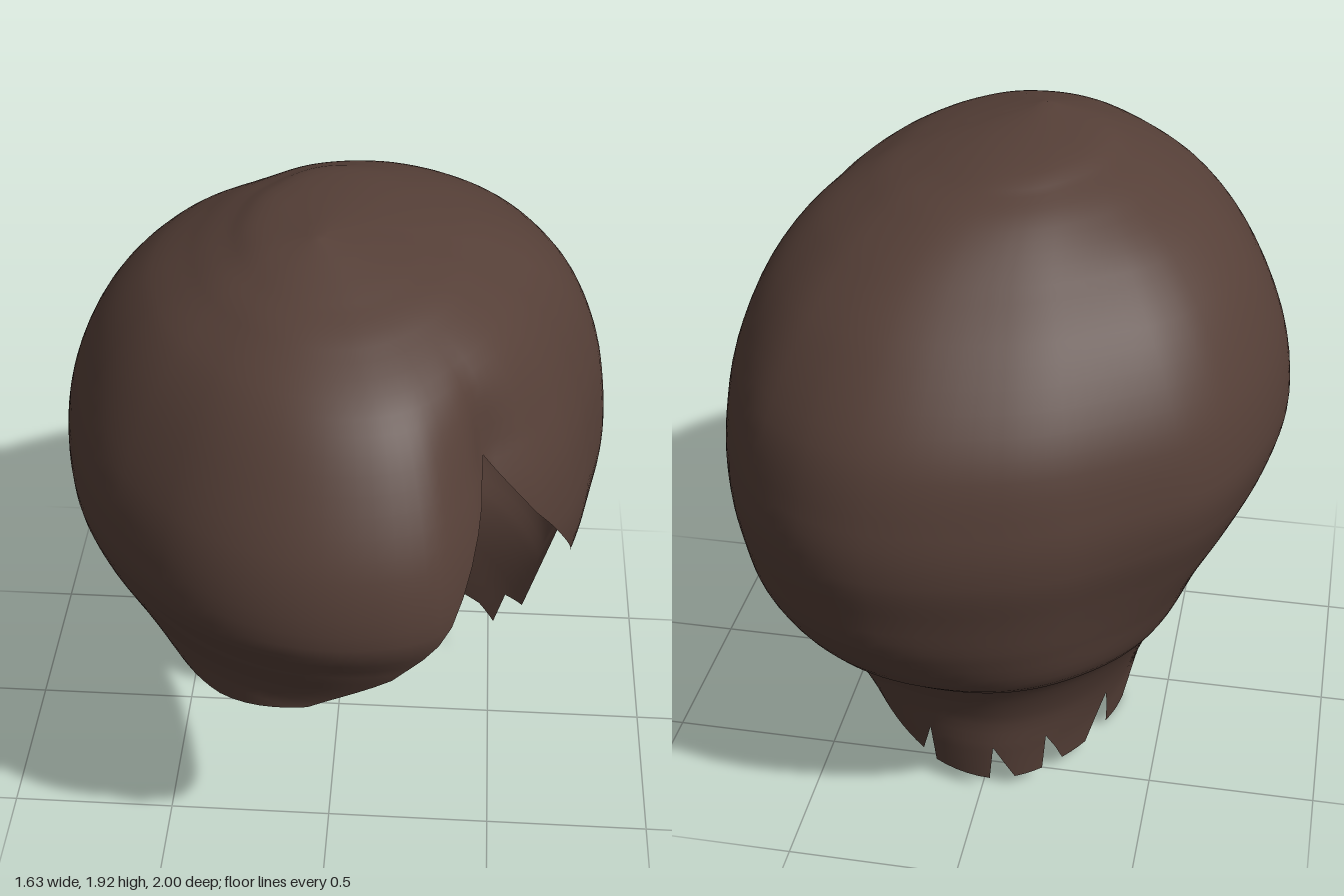
import * as THREE from 'three';

// Cross-section levels from crown to nape: y, left edge, right edge, front, back, centre x, centre z
const LEVELS = [
  [1.92, -0.05, -0.05, 0.18, 0.18, -0.05, 0.18],
  [1.89, -0.22, 0.12, 0.29, -0.22, -0.04, 0.1],
  [1.85, -0.31, 0.28, 0.42, -0.36, -0.03, 0.08],
  [1.8, -0.41, 0.41, 0.56, -0.47, -0.02, 0.06],
  [1.7, -0.57, 0.57, 0.73, -0.61, 0, 0.03],
  [1.55, -0.7, 0.69, 0.86, -0.78, 0, 0],
  [1.35, -0.79, 0.77, 0.97, -0.93, 0, 0],
  [1.15, -0.82, 0.805, 1.0, -0.99, 0, 0],
  [1.0, -0.79, 0.81, 0.94, -1.0, 0, 0],
  [0.85, -0.72, 0.79, 0.88, -0.97, 0, -0.02],
  [0.7, -0.63, 0.75, 0.86, -0.93, 0, -0.07],
  [0.55, -0.56, 0.7, 0.7, -0.85, 0, -0.11],
  [0.45, -0.52, 0.66, 0.6, -0.72, 0, -0.04],
  [0.3, -0.46, 0.6, 0.5, -0.65, 0, 0.04],
  [0.15, -0.41, 0.51, 0.45, -0.635, 0, 0.1],
  [0, -0.38, 0.44, 0.42, -0.62, 0, 0.1],
];
const LAST = LEVELS.length - 1;

// Hem height by angle (0 = front, 90 = left side, 180 = back)
const FRINGE = [[-103, 0.83], [-90, 0.81], [-75, 0.745], [-60, 0.715], [-39, 0.7], [-20, 0.74], [-2, 0.82],
  [12.5, 0.97], [22, 1.15], [30, 1.34], [37, 1.48], [49, 1.25], [62, 1.05], [77, 0.82], [90, 0.88], [103, 0.85]];
const NAPE = [[106, 0.7], [106.3, 0.34], [118, 0.3], [119, 0.22], [130, 0.21], [138, 0.19], [148, 0.13],
  [164, 0.08], [167, 0.2], [168, 0.06], [182, 0.04], [183, 0.17], [188, 0.04], [195, 0.04], [196, 0.18],
  [201, 0.04], [210, 0.03], [218, 0.2], [222, 0.02], [232, 0], [240, 0], [256, 0.2], [256.5, 0.7], [257, 0.83]];
const HEM = [...FRINGE, ...NAPE];

// Lopsided plan of the dome, as a factor on an ellipse
const PLAN = [[-92, 1], [-73, 0.97], [-59, 0.965], [-35, 0.945], [-18, 0.97], [0, 0.995], [17, 1.015], [26, 0.99],
  [37, 0.97], [50, 0.95], [66, 0.93], [90, 0.945], [104, 1.02], [120, 1.07], [130, 1.08], [139, 1.108], [148, 1.1],
  [160, 1.076], [165, 1.05], [180, 0.98], [188, 0.965], [197, 0.955], [207, 0.94], [227, 1]];

// Inward crease where the swept fringe meets the side hair
const CREASE = [[20, 1], [26, 0.96], [32, 0.92], [37, 0.86], [43, 0.9], [50, 0.94], [66, 0.98], [90, 1]];

function piecewise(table, a) {
  if (a <= table[0][0]) return table[0][1];
  for (let i = 1; i < table.length; i++) {
    const [a0, v0] = table[i - 1], [a1, v1] = table[i];
    if (a <= a1) return v0 + (v1 - v0) * (a - a0) / (a1 - a0);
  }
  return table[table.length - 1][1];
}

// Table value averaged over a small range of angles
const softened = (table, a, w) =>
  (piecewise(table, a - w) + piecewise(table, a - w / 2) + piecewise(table, a) +
    piecewise(table, a + w / 2) + piecewise(table, a + w)) / 5;

// Smoothly interpolated level at a fractional index
function levelAt(k) {
  const i = Math.min(Math.floor(k), LAST - 1), t = k - i;
  const p = (n) => LEVELS[Math.max(0, Math.min(LAST, n))];
  const [p0, p1, p2, p3] = [p(i - 1), p(i), p(i + 1), p(i + 2)];
  return p1.map((v, c) => {
    const m1 = (p2[c] - p0[c]) / 2, m2 = (p3[c] - v) / 2, d = p2[c] - v;
    return v + t * (m1 + t * (3 * d - 2 * m1 - m2 + t * (m1 + m2 - 2 * d)));
  });
}

// Fractional level index for a height
function indexOf(y) {
  let lo = 0, hi = LAST;
  for (let n = 0; n < 30; n++) {
    const mid = (lo + hi) / 2;
    if (levelAt(mid)[0] > y) lo = mid; else hi = mid;
  }
  return (lo + hi) / 2;
}

// Point on the hair shell for an angle in degrees and a level index
function shellPoint(deg, k) {
  const [y, left, right, front, back, cx, cz] = levelAt(k);
  const a = THREE.MathUtils.degToRad(deg), s = Math.sin(a), c = Math.cos(a);
  const rx = Math.max(1e-4, s > 0 ? right - cx : cx - left);
  const rz = Math.max(1e-4, c > 0 ? front - cz : cz - back);
  const dome = THREE.MathUtils.smoothstep(y, 0.35, 0.8);
  const belowCrown = 1 - THREE.MathUtils.smoothstep(y, 1.45, 1.82);
  const r = 1 / Math.hypot(s / rx, c / rz)
    * (1 + (softened(PLAN, deg, 6) - 1) * dome)
    * (1 + (softened(CREASE, deg, 2) - 1) * dome * belowCrown);
  return new THREE.Vector3(cx + r * s, y, cz + r * c);
}

function shellNormal(deg, k) {
  const kk = Math.max(0.06, Math.min(LAST - 0.02, k));
  const du = shellPoint(deg + 0.5, kk).sub(shellPoint(deg - 0.5, kk));
  const dv = shellPoint(deg, kk + 0.01).sub(shellPoint(deg, kk - 0.01));
  return dv.cross(du).normalize();
}

function hairGeometry(rows) {
  // Columns at every hem corner, with extra ones between
  const angles = [];
  for (let i = 0; i < HEM.length - 1; i++) {
    const a0 = HEM[i][0], a1 = HEM[i + 1][0], steps = Math.ceil((a1 - a0) / 3);
    for (let j = 0; j < steps; j++) angles.push(a0 + (a1 - a0) * j / steps);
  }
  angles.push(HEM[HEM.length - 1][0]);
  const ends = angles.map((a) => indexOf(piecewise(HEM, a)));

  const positions = [], normals = [], index = [];
  angles.forEach((a, i) => {
    for (let j = 0; j <= rows; j++) {
      // Rows stop at the hem
      const row = LAST * j / rows, k = Math.min(row, ends[i]);
      positions.push(...shellPoint(a, k).toArray());
      normals.push(...(j === 0 ? [0, 1, 0] : shellNormal(a, k).toArray()));
      if (i === angles.length - 1 || j === rows) continue;
      const p = i * (rows + 1) + j, q = p + rows + 1;
      if (row < ends[i]) index.push(p, p + 1, q);
      if (row < ends[i + 1]) index.push(q, p + 1, q + 1);
    }
  });
  const geometry = new THREE.BufferGeometry();
  geometry.setAttribute('position', new THREE.Float32BufferAttribute(positions, 3));
  geometry.setAttribute('normal', new THREE.Float32BufferAttribute(normals, 3));
  geometry.setIndex(index);
  return geometry;
}

export function createModel() {
  const model = new THREE.Group();
  model.name = 'hairpiece';
  const brown = new THREE.MeshStandardMaterial({ color: 0x553f37, side: THREE.DoubleSide });
  brown.name = 'dark brown hair';
  // Open shell: swept fringe, sides and ragged nape
  const hair = new THREE.Mesh(hairGeometry(60), brown);
  hair.name = 'hairShell';
  model.add(hair);
  return model;
}
